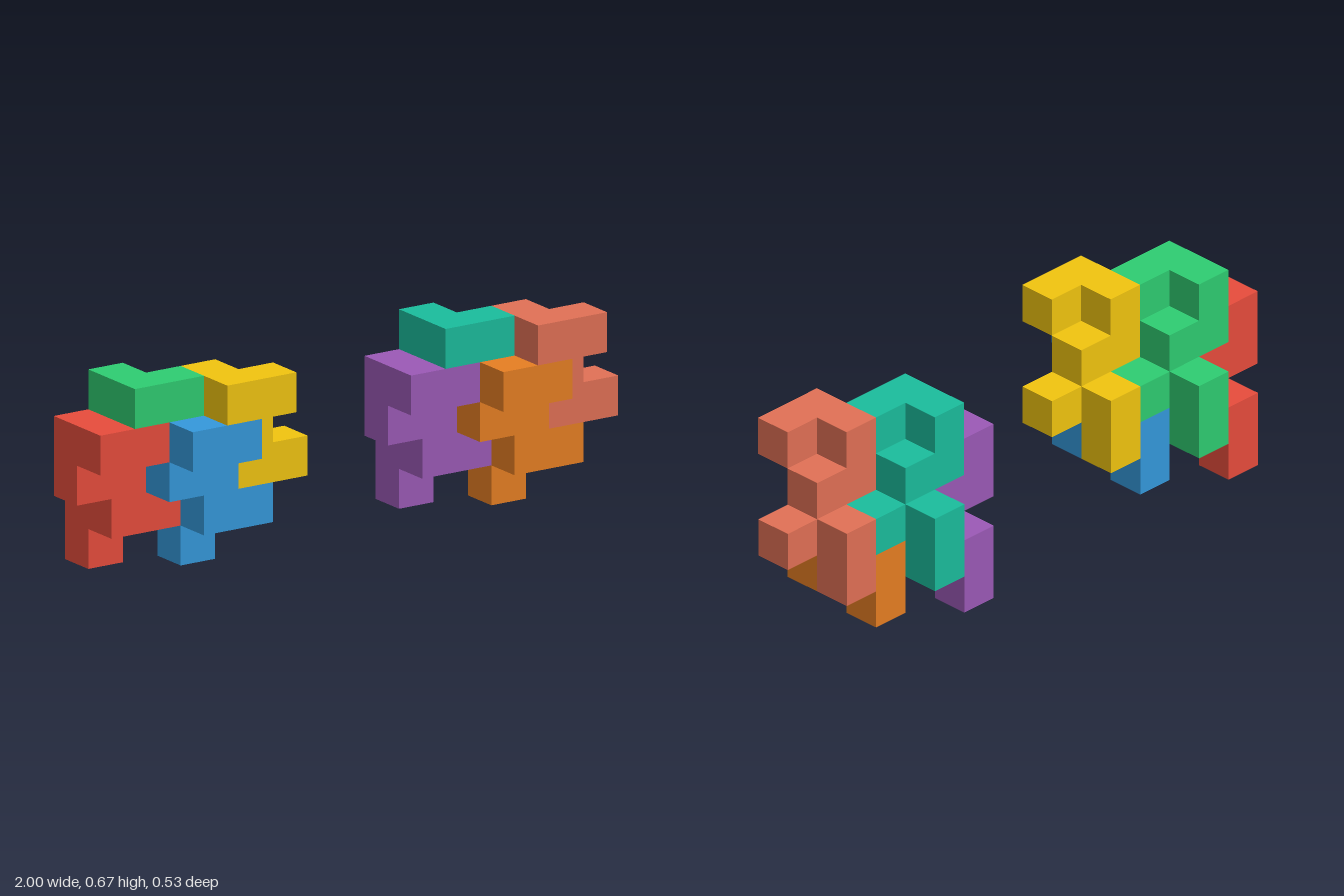
import * as THREE from 'three';
import { mergeGeometries } from 'three/addons/utils/BufferGeometryUtils.js';

const U = 2 / 15; // edge of one cube

// Every piece is the same chain of nine cubes, as offsets [x, y, z] from its top front left cube
const CELLS = [
  [0, 0, 0], [1, 0, 0], [0, 0, -1],
  [0, -1, -1], [1, -1, -1],
  [1, -2, -1], [2, -2, -1], [1, -2, -2],
  [1, -3, -2],
];

// Outward direction and plane rotation of each cube side
const H = Math.PI / 2;
const SIDES = [
  [[0, 0, 1], [0, 0, 0]], [[0, 0, -1], [0, 2 * H, 0]],
  [[1, 0, 0], [0, H, 0]], [[-1, 0, 0], [0, -H, 0]],
  [[0, 1, 0], [-H, 0, 0]], [[0, -1, 0], [H, 0, 0]],
];

// Outer skin of the chain: only the sides without a neighbouring cube
function pieceGeometry() {
  const filled = new Set(CELLS.map(String));
  const faces = [];
  for (const cell of CELLS) {
    for (const [dir, rot] of SIDES) {
      if (filled.has(String(cell.map((v, i) => v + dir[i])))) continue;
      const face = new THREE.PlaneGeometry(U, U);
      face.rotateX(rot[0]).rotateY(rot[1]);
      face.translate(...cell.map((v, i) => (v + dir[i] / 2) * U));
      faces.push(face);
    }
  }
  return mergeGeometries(faces);
}

// Grid position of the first cube of each piece within a cluster
const PLACES = [
  ['lowerBackPiece', [0, 3, 2]],
  ['upperBackPiece', [1, 4, 2]],
  ['lowerFrontPiece', [2, 3, 3]],
  ['upperFrontPiece', [3, 4, 3]],
];

export function createModel() {
  const model = new THREE.Group();
  model.name = 'interlockingCubePieces';
  const geometry = pieceGeometry();

  // Two equal clusters of four nested pieces, in different colours
  const clusters = [
    ['rightCluster', -1, [0xe74c3c, 0x2ecc71, 0x3498db, 0xf1c40f]],
    ['leftCluster', 0.2, [0x9b59b6, 0x1abc9c, 0xe67e22, 0xe17055]],
  ];
  for (const [name, x0, colors] of clusters) {
    const cluster = new THREE.Group();
    cluster.name = name;
    cluster.position.set(x0 + U / 2, U / 2, -1.5 * U);
    PLACES.forEach(([part, cell], i) => {
      const material = new THREE.MeshStandardMaterial({ color: colors[i] });
      const piece = new THREE.Mesh(geometry, material);
      piece.name = part;
      piece.position.set(...cell).multiplyScalar(U);
      cluster.add(piece);
    });
    model.add(cluster);
  }
  return model;
}
